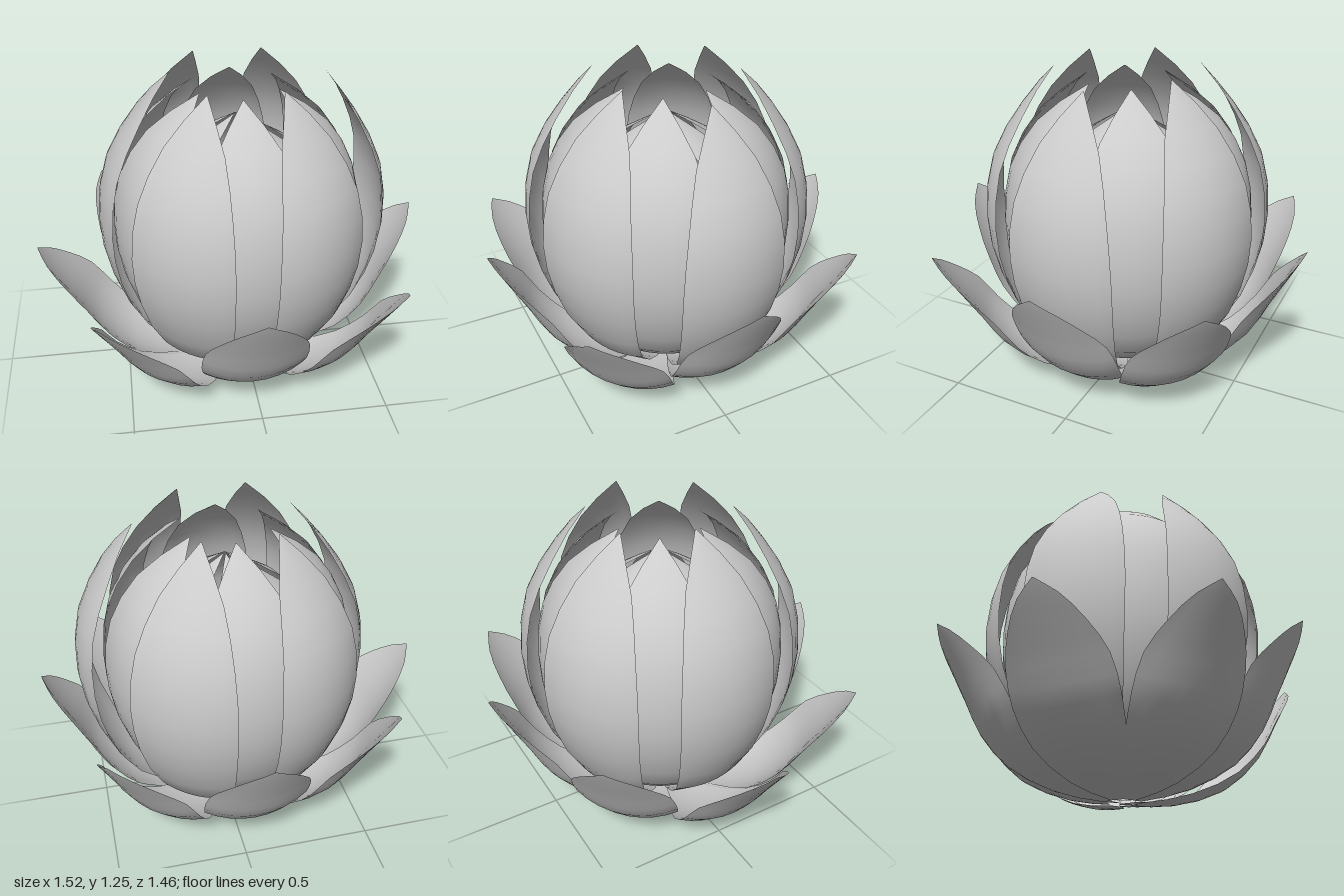
import * as THREE from 'three';

const CENTRE = new THREE.Vector3(-0.035, 0.1, -0.005); // where all petals are rooted

// Cupped petal: each profile point is [radius, height, half width], running from root to tip.
function petalGeometry(profile, cup) {
  const spine = new THREE.CatmullRomCurve3(profile.map((p) => new THREE.Vector3(...p)));
  const geo = new THREE.PlaneGeometry(2, 1, 8, 14);
  const pos = geo.attributes.position;
  for (let i = 0; i < pos.count; i++) {
    const t = pos.getY(i) + 0.5;
    const p = spine.getPoint(t);
    const d = spine.getTangent(t);
    const len = Math.hypot(d.x, d.y);
    const phi = (pos.getX(i) * Math.max(p.z, 0.002)) / cup;
    const inset = cup * (1 - Math.cos(phi)); // edges curl in along the spine normal
    pos.setXYZ(i, p.x - (inset * d.y) / len, p.y + (inset * d.x) / len, -cup * Math.sin(phi));
  }
  geo.computeVertexNormals();
  return geo;
}

export function createModel() {
  const flower = new THREE.Group();
  flower.name = 'lotusFlower';
  const material = new THREE.MeshStandardMaterial({ color: 0xcccccc, side: THREE.DoubleSide });

  // Ring of equal petals; a negative lean opens a petal outwards.
  function petalRing(name, count, start, profile, cup, leans = {}) {
    const geo = petalGeometry(profile, cup);
    const ring = new THREE.Group();
    ring.name = name + 's';
    ring.position.copy(CENTRE);
    for (let i = 0; i < count; i++) {
      const petal = new THREE.Mesh(geo, material);
      petal.name = name;
      petal.rotation.set(0, -(start + (i * 2 * Math.PI) / count), leans[i] ?? 0);
      ring.add(petal);
    }
    flower.add(ring);
  }

  // Low open petals
  petalRing('outerPetal', 8, 0, [
    [0.06, 0, 0.025], [0.24, 0.035, 0.11], [0.42, 0.115, 0.18], [0.54, 0.24, 0.21],
    [0.605, 0.37, 0.2], [0.66, 0.48, 0.145], [0.705, 0.57, 0.075], [0.73, 0.625, 0],
  ], 0.38, { 1: -0.08, 3: -0.11, 4: -0.11, 5: -0.04, 7: -0.05 });

  // Tall petals around the bulb, one of them leaning away
  petalRing('middlePetal', 6, 0, [
    [0.05, 0.01, 0.03], [0.2, 0.05, 0.09], [0.4, 0.2, 0.15], [0.52, 0.44, 0.195],
    [0.555, 0.67, 0.21], [0.515, 0.9, 0.185], [0.4, 1.09, 0.115], [0.27, 1.24, 0],
  ], 0.43, { 0: -0.055, 3: 0.02 });

  // Petals filling the gaps of the bulb
  petalRing('innerPetal', 6, Math.PI / 6, [
    [0.04, 0.015, 0.03], [0.18, 0.06, 0.1], [0.36, 0.21, 0.16], [0.465, 0.44, 0.2],
    [0.49, 0.66, 0.215], [0.45, 0.88, 0.19], [0.335, 1.06, 0.12], [0.17, 1.19, 0],
  ], 0.45);

  // Closed bud at the heart
  petalRing('budPetal', 6, Math.PI / 6, [
    [0, 0.015, 0.02], [0.2, 0.12, 0.11], [0.33, 0.37, 0.18],
    [0.36, 0.65, 0.19], [0.28, 0.88, 0.12], [0.01, 1.07, 0],
  ], 0.34);

  return flower;
}
